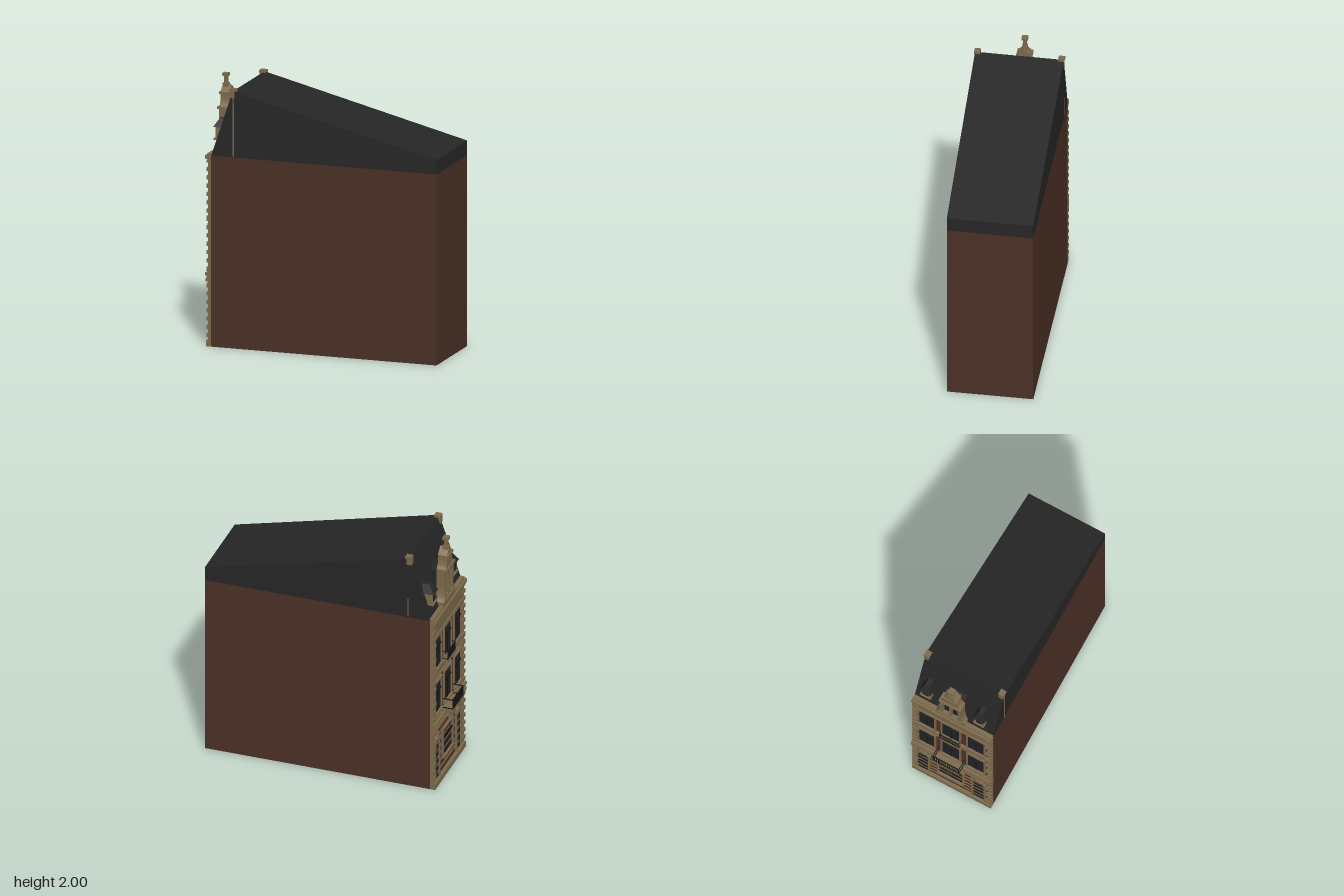
import * as THREE from 'three';
import { ConvexGeometry } from 'three/addons/geometries/ConvexGeometry.js';

const mat = (name, color, opts = {}) => {
  const m = new THREE.MeshStandardMaterial({ color, ...opts });
  m.name = name;
  return m;
};

export function createModel() {
  const brick = mat('brick', 0x4a3026);
  const facadeBrick = mat('facade brick', 0x532f24);
  const slate = mat('slate', 0x262626);
  const stone = mat('sandstone', 0x7c694c);
  const glass = mat('glass', 0x202325);
  const iron = mat('iron', 0x141414);

  const model = new THREE.Group();
  model.name = 'townHouse';
  const add = (parent, name, geo, material, x = 0, y = 0, z = 0) => {
    const mesh = new THREE.Mesh(geo, material);
    mesh.name = name;
    mesh.position.set(x, y, z);
    parent.add(mesh);
    return mesh;
  };
  const hull = (name, pts, material, parent = model) =>
    add(parent, name, new ConvexGeometry(pts.map(p => new THREE.Vector3(...p))), material);

  // Long house body on a slightly skewed footprint
  const A = [-0.056, 0.957], B = [0.566, 0.786], C = [0.08, -0.905], D = [-0.56, -0.729];
  const ridgeC = [0.125, -0.738], ridgeD = [-0.515, -0.565];
  const at = ([x, z], y) => [x, y, z];
  const EAVE = 1.45, RIDGE = 1.953;
  hull('body', [A, B, C, D].flatMap(p => [at(p, 0), at(p, EAVE)]), brick);

  // Roof: steep street side, long slope to the low far end
  hull('roof', [
    ...[A, B, C, D].map(p => at(p, EAVE)),
    at(A, 1.56), at(B, 1.56), at(ridgeC, RIDGE), at(ridgeD, RIDGE),
  ], slate);

  // Facade group: local +z points out to the street, x = 0 at its middle
  const f = new THREE.Group();
  f.name = 'facade';
  f.position.set(-0.24, 0, -0.817);
  f.rotation.y = Math.PI + 0.268;
  model.add(f);
  // Box given by centre x, bottom and top y, back and front z
  const block = (name, x, w, y0, y1, z0, z1, m = stone) =>
    add(f, name, new THREE.BoxGeometry(w, y1 - y0, z1 - z0), m, x, (y0 + y1) / 2, (z0 + z1) / 2);
  const MID = -0.012;

  block('facadeWall', 0, 0.66, 0, 1.45, -0.005, 0.014, facadeBrick);
  block('plinth', 0, 0.666, 0, 0.045, 0, 0.04);

  // Corner piers with projecting quoins
  for (const s of [-1, 1]) {
    block('cornerPier', s * 0.314, 0.036, 0, 1.45, 0, 0.024);
    for (let i = 0; i < 21; i++) {
      const w = i % 2 ? 0.036 : 0.05;
      const y = 0.07 + i * 0.063;
      block('quoin', s * (0.335 - w / 2), w, y, y + 0.03, 0.004, 0.034);
    }
  }

  // Cornices: centre y, height, projection
  for (const [y, h, z] of [
    [0.475, 0.022, 0.03], [0.505, 0.026, 0.044], [0.55, 0.022, 0.046], [0.575, 0.012, 0.03],
    [0.925, 0.014, 0.03], [0.975, 0.03, 0.036],
    [1.29, 0.016, 0.034], [1.35, 0.1, 0.026], [1.405, 0.02, 0.036], [1.437, 0.026, 0.048],
  ]) block('cornice', 0, z > 0.04 ? 0.672 : 0.664, y - h / 2, y + h / 2, 0, z);
  block('stoneBand', 0, 0.64, 0.485, 0.57, 0, 0.024);
  block('eaveParapet', 0, 0.66, 1.44, 1.465, -0.02, 0.03);

  // Stone frame around dark glass
  const framedOpening = (name, x, w, y0, y1, t = 0.012) => {
    block(name + 'Glass', x, w, y0, y1, 0.012, 0.018, glass);
    for (const s of [-1, 1]) block(name + 'Jamb', x + s * (w + t) / 2, t, y0, y1, 0.01, 0.028);
    block(name + 'Lintel', x, w + 2 * t, y1, y1 + 0.016, 0.01, 0.03);
    block(name + 'Sill', x, w + 2 * t, y0 - 0.014, y0, 0.01, 0.036);
  };

  // Upper windows, two rows of three
  for (const y of [0.62, 1.005]) {
    for (const [x, w] of [[-0.217, 0.13], [MID, 0.145], [0.199, 0.135]]) {
      framedOpening('window', x, w, y, y + 0.255);
      block('transom', x, w, y + 0.165, y + 0.176, 0.014, 0.024, iron);
      block('mullion', x, 0.006, y, y + 0.165, 0.014, 0.022, iron);
    }
  }

  // Ground floor: shop window, banded brick and two doors with arches
  for (let i = 0; i < 6; i++) {
    const y = 0.085 + i * 0.062;
    block('stoneCourse', 0, 0.6, y, y + 0.016, 0.008, 0.019);
  }
  framedOpening('shopWindow', MID, 0.195, 0.165, 0.385, 0.016);
  block('shopTransom', MID, 0.195, 0.31, 0.32, 0.014, 0.026, iron);
  for (const x of [-0.247, 0.222]) {
    framedOpening('door', x, 0.09, 0.045, 0.375, 0.014);
    const arch = add(f, 'doorArch', new THREE.TorusGeometry(0.042, 0.009, 6, 12, Math.PI), stone, x, 0.39, 0.024);
    arch.scale.z = 1.4;
    add(f, 'fanlight', new THREE.CircleGeometry(0.038, 12, 0, Math.PI), glass, x, 0.39, 0.021);
    block('keystone', x, 0.02, 0.42, 0.455, 0.01, 0.04);
    for (const s of [-1, 1]) block('doorCapital', x + s * 0.053, 0.022, 0.375, 0.4, 0.01, 0.038);
  }

  // Balconies with iron railings
  const balcony = (x, w, y, depth, h, bars) => {
    block('balconySlab', x, w, y - 0.02, y, 0.01, depth);
    for (const ry of [y + 0.01, y + h]) {
      block('railFront', x, w, ry - 0.006, ry, depth - 0.008, depth, iron);
      for (const s of [-1, 1]) block('railSide', x + s * (w / 2 - 0.003), 0.006, ry - 0.006, ry, 0.01, depth, iron);
    }
    for (let i = 0; i < bars; i++) {
      const bx = x + (i / (bars - 1) - 0.5) * (w - 0.006);
      block('baluster', bx, 0.005, y, y + h, depth - 0.006, depth - 0.001, iron);
    }
  };
  balcony(MID, 0.225, 0.585, 0.105, 0.085, 15);
  balcony(MID, 0.17, 0.99, 0.055, 0.07, 11);
  for (const s of [-1, 1]) block('balconyBracket', MID + s * 0.085, 0.022, 0.51, 0.565, 0.02, 0.08);

  // Scrolled stone gable with two arched windows
  const gable = new THREE.Shape();
  gable.moveTo(-0.122, 1.45);
  gable.lineTo(0.122, 1.45);
  gable.lineTo(0.122, 1.5);
  gable.quadraticCurveTo(0.088, 1.53, 0.086, 1.6);
  gable.lineTo(0.086, 1.755);
  gable.quadraticCurveTo(0.052, 1.77, 0.05, 1.85);
  gable.lineTo(0.056, 1.865);
  gable.lineTo(0, 1.915);
  gable.lineTo(-0.056, 1.865);
  gable.lineTo(-0.05, 1.85);
  gable.quadraticCurveTo(-0.052, 1.77, -0.086, 1.755);
  gable.lineTo(-0.086, 1.6);
  gable.quadraticCurveTo(-0.088, 1.53, -0.122, 1.5);
  for (const x of [-0.036, 0.036]) {
    const hole = new THREE.Path();
    hole.moveTo(x - 0.026, 1.53);
    hole.lineTo(x - 0.026, 1.69);
    hole.absarc(x, 1.69, 0.026, Math.PI, 0, true);
    hole.lineTo(x + 0.026, 1.53);
    hole.closePath();
    gable.holes.push(hole);
  }
  add(f, 'gable', new THREE.ExtrudeGeometry(gable, { depth: 0.07, bevelEnabled: false, curveSegments: 6 }),
    stone, MID, 0, -0.035);
  block('gableGlass', MID, 0.14, 1.5, 1.73, 0.005, 0.012, glass);
  block('gableLedge', MID, 0.185, 1.742, 1.76, -0.03, 0.048);
  block('gableCap', MID, 0.118, 1.848, 1.866, -0.03, 0.046);
  block('gableSill', MID, 0.2, 1.5, 1.515, 0, 0.046);
  block('dormerBody', MID, 0.15, 1.46, 1.74, -0.11, -0.034, slate);
  // Finial
  block('finialBase', MID, 0.04, 1.895, 1.925, -0.012, 0.032);
  block('finialStem', MID, 0.026, 1.925, 1.98, -0.003, 0.023);
  block('finialCap', MID, 0.046, 1.98, 2, -0.013, 0.033);

  // Two small dormers with hipped slate caps
  for (const x of [MID - 0.228, MID + 0.222]) {
    block('dormer', x, 0.078, 1.56, 1.65, -0.075, -0.002);
    block('dormerGlass', x, 0.046, 1.58, 1.638, -0.004, 0.001, glass);
    block('dormerSill', x, 0.09, 1.552, 1.566, -0.05, 0.008);
    hull('dormerRoof', [
      [x - 0.05, 1.65, 0.012], [x + 0.05, 1.65, 0.012], [x - 0.05, 1.65, -0.08], [x + 0.05, 1.65, -0.08],
      [x - 0.018, 1.715, -0.03], [x + 0.018, 1.715, -0.03], [x - 0.018, 1.715, -0.1], [x + 0.018, 1.715, -0.1],
    ], slate, f);
  }

  // Ridge end blocks, with thin stone strips down the party walls
  for (const s of [-1, 1]) {
    block('ridgePost', s * 0.314, 0.036, 1.9, 1.955, -0.185, -0.145);
    block('ridgePostCap', s * 0.314, 0.046, 1.95, 1.97, -0.195, -0.145);
    block('wallStrip', s * 0.33, 0.008, 1.46, s > 0 ? 1.95 : 1.61, -0.178, -0.168);
  }

  return model;
}
